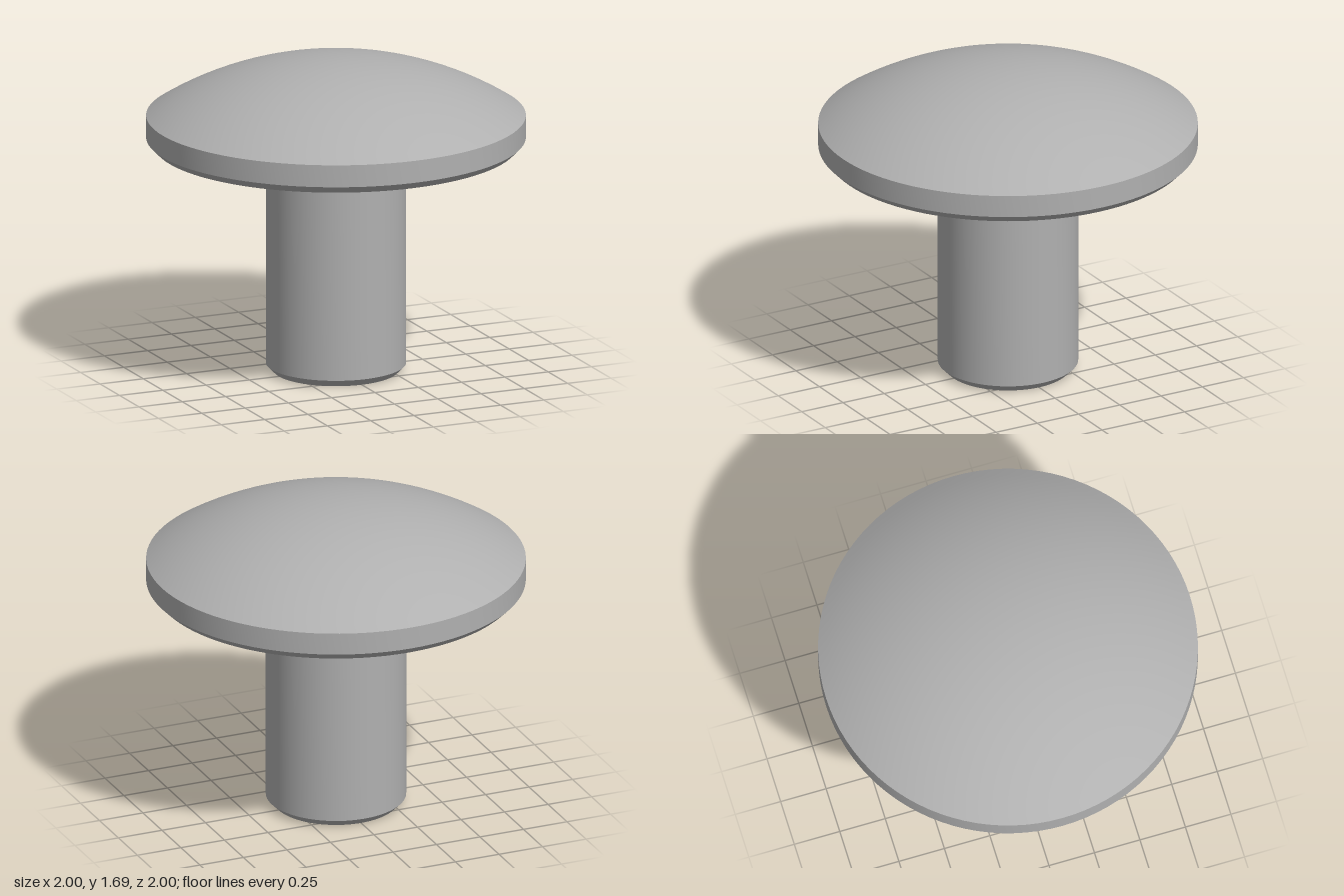
import * as THREE from 'three';
import { toCreasedNormals } from 'three/addons/utils/BufferGeometryUtils.js';

const SEGMENTS = 96;
const SHANK_R = 0.37, END_R = 0.33, HEAD_Y = 1.23, RIM_Y = 1.39, TOP_Y = 1.69;
const RECESS_DEPTH = 0.3;

// Revolved part, listed bottom to top, with sharp chamfer edges
function lathe(points) {
  const profile = points.map(([r, y]) => new THREE.Vector2(r, y));
  return toCreasedNormals(new THREE.LatheGeometry(profile, SEGMENTS), 0.5);
}

// Outline of the cross-shaped drive: four arms along the axes
function crossPoints(arm, half) {
  const points = [];
  for (let i = 0; i < 4; i++) {
    for (const [x, y] of [[arm, -half], [arm, half], [half, half]]) {
      points.push(new THREE.Vector2(x, y).rotateAround(new THREE.Vector2(), i * Math.PI / 2));
    }
  }
  return points;
}

export function createModel() {
  const group = new THREE.Group();
  const steel = new THREE.MeshStandardMaterial({ color: 0xb0b0b0 });
  steel.name = 'steel grey';

  const add = (name, geometry) => {
    const mesh = new THREE.Mesh(geometry, steel);
    mesh.name = name;
    group.add(mesh);
    return mesh;
  };

  // Head: flat underside, chamfer, rim, then a spherical dome
  const rise = TOP_Y - RIM_Y;
  const radius = (1 + rise * rise) / (2 * rise);
  const rimAngle = Math.asin(1 / radius);
  const head = [[SHANK_R - 0.02, HEAD_Y], [0.96, HEAD_Y], [1, HEAD_Y + 0.04]];
  const steps = 20;
  for (let i = 0; i <= steps; i++) {
    const a = rimAngle * (1 - i / steps);
    head.push([radius * Math.sin(a), TOP_Y - radius * (1 - Math.cos(a))]);
  }
  add('head', lathe(head));

  // Shank with a chamfered lower end
  add('shank', lathe([[END_R, 0], [SHANK_R, 0.04], [SHANK_R, HEAD_Y]]));

  // End face pierced by the cross recess, and the recess floor
  const cross = crossPoints(0.27, 0.087);
  const disc = new THREE.Shape().absarc(0, 0, END_R, 0, Math.PI * 2, false);
  disc.holes.push(new THREE.Path(cross));
  const end = new THREE.ExtrudeGeometry(disc, {
    depth: RECESS_DEPTH, bevelEnabled: false, curveSegments: SEGMENTS,
  });
  add('endFace', end.rotateX(-Math.PI / 2));

  const floor = new THREE.ShapeGeometry(new THREE.Shape(cross)).rotateX(Math.PI / 2);
  add('recessFloor', floor).position.y = RECESS_DEPTH;

  return group;
}
